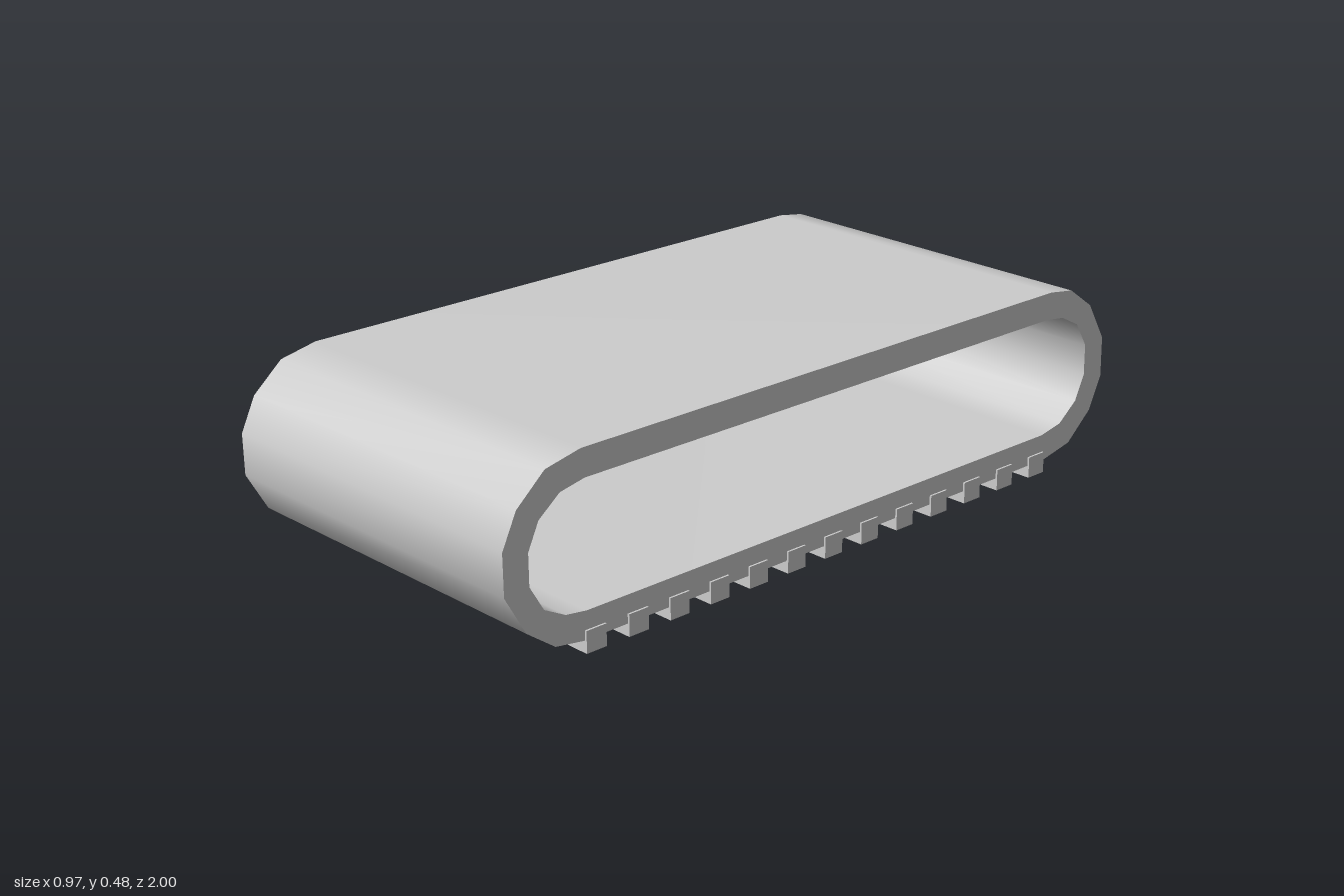
import * as THREE from 'three';

const HALF_WIDTH = 0.478;
const MID_Y = 0.256;

// Half of each loop as [z, y]; the other half is the same turned 180 degrees
const OUTER = [[0.78, 0.481], [0.88, 0.46], [0.96, 0.39], [1.0, 0.305],
  [0.998, 0.2], [0.94, 0.1], [0.86, 0.043]];
const INNER = [[0.77, 0.411], [0.84, 0.397], [0.9, 0.35], [0.93, 0.285],
  [0.929, 0.205], [0.89, 0.14], [0.83, 0.109]];

function fullLoop(half) {
  return [...half, [half[0][0], 2 * MID_Y - half[0][1]],
    ...half.map(([z, y]) => [-z, 2 * MID_Y - y]),
    [-half[0][0], half[0][1]]];
}

// Smooth band swept across the width
function bandWall(loop, inward) {
  const n = loop.length;
  const positions = [];
  const index = [];
  loop.forEach(([z, y], i) => {
    positions.push(-HALF_WIDTH, y, z, HALF_WIDTH, y, z);
    const a = 2 * i, b = a + 1;
    const c = 2 * ((i + 1) % n), d = c + 1;
    if (inward) index.push(a, b, c, c, b, d);
    else index.push(a, c, b, c, d, b);
  });
  const geometry = new THREE.BufferGeometry();
  geometry.setAttribute('position', new THREE.Float32BufferAttribute(positions, 3));
  geometry.setIndex(index);
  geometry.computeVertexNormals();
  return geometry;
}

// Flat ring closing one side of the belt
function sideRing(outer, inner, side) {
  const toPoints = (loop) => loop.map(([z, y]) => new THREE.Vector2(-side * z, y));
  const shape = new THREE.Shape(toPoints(outer));
  shape.holes.push(new THREE.Path(toPoints(inner)));
  return new THREE.ShapeGeometry(shape)
    .rotateY(side * Math.PI / 2)
    .translate(side * HALF_WIDTH, 0, 0);
}

export function createModel() {
  const group = new THREE.Group();
  group.name = 'treadBelt';
  const grey = new THREE.MeshStandardMaterial({ color: 0xcccccc });
  grey.name = 'light grey';

  const add = (name, geometry) => {
    const mesh = new THREE.Mesh(geometry, grey);
    mesh.name = name;
    group.add(mesh);
    return mesh;
  };

  // Belt loop
  const outer = fullLoop(OUTER);
  const inner = fullLoop(INNER);
  add('beltOuterFace', bandWall(outer, false));
  add('beltInnerFace', bandWall(inner, true));
  add('beltLeftEdge', sideRing(outer, inner, 1));
  add('beltRightEdge', sideRing(outer, inner, -1));

  // Grip ribs under the belt, slightly wider than it
  const ribGeometry = new THREE.BoxGeometry(0.966, 0.055, 0.058);
  for (let i = 0; i < 13; i++) {
    add(`gripRib${i + 1}`, ribGeometry).position.set(0, 0.0275, (i - 6) * 0.1245);
  }
  return group;
}
